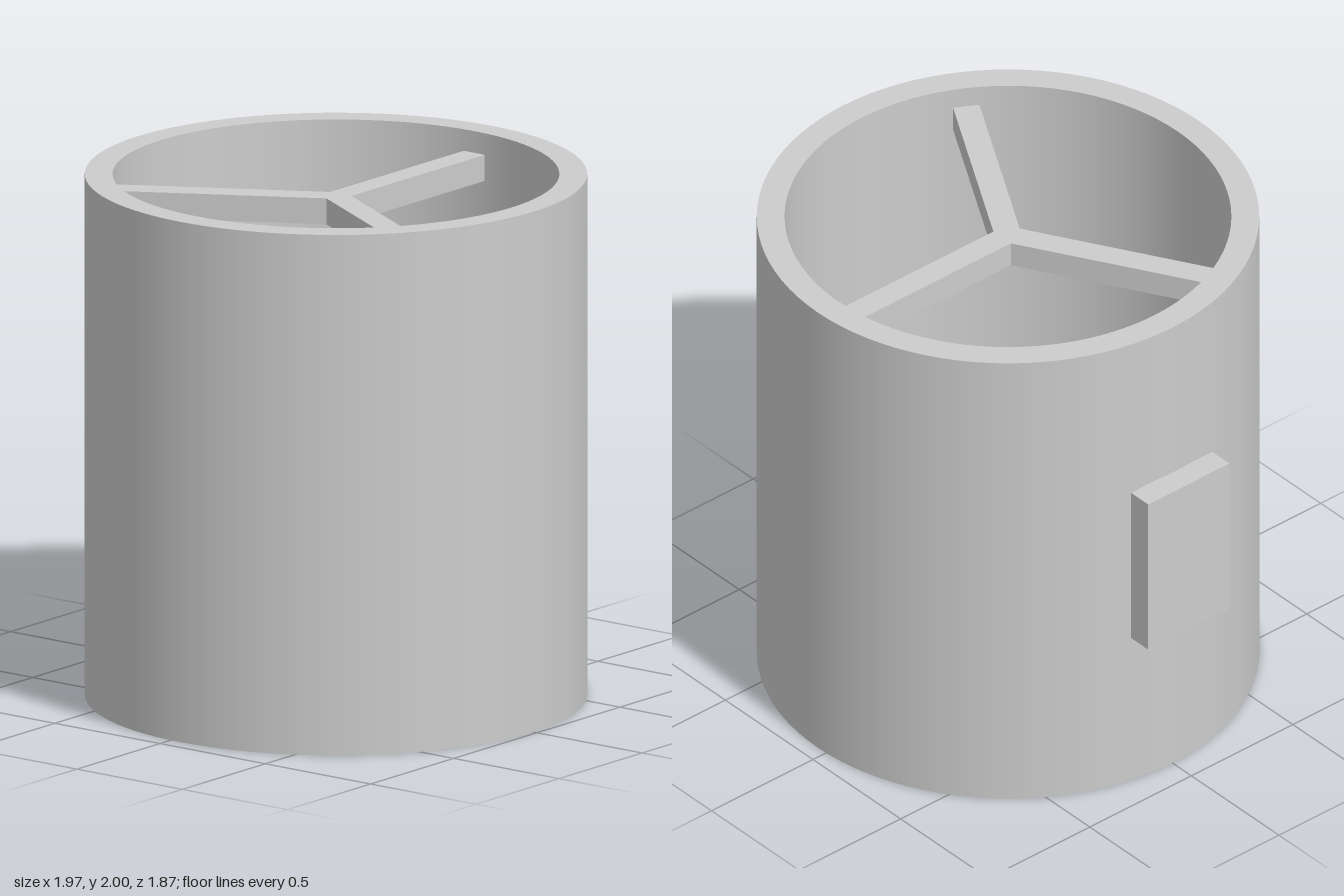
import * as THREE from 'three';

const CX = 0.046; // axis of the duct

export function createModel() {
  const group = new THREE.Group();
  const grey = new THREE.MeshStandardMaterial({ color: 0xcccccc });
  grey.name = 'light grey';

  const add = (name, geometry, x, y, z, parent = group) => {
    const mesh = new THREE.Mesh(geometry, grey);
    mesh.name = name;
    mesh.position.set(x, y, z);
    parent.add(mesh);
    return mesh;
  };

  // Open tube with a thick wall; each face pair is separate so the rims stay sharp
  const R = 0.937, r = 0.833, H = 2, N = 96;
  const duct = new THREE.Group();
  duct.name = 'duct';
  duct.position.x = CX;
  group.add(duct);
  const wall = (name, a, b) => add(name, new THREE.LatheGeometry(
    [new THREE.Vector2(...a), new THREE.Vector2(...b)], N), 0, 0, 0, duct);
  wall('outerWall', [R, 0], [R, H]);
  wall('topRim', [R, H], [r, H]);
  wall('innerWall', [r, H], [r, 0]);
  wall('bottomRim', [r, 0], [R, 0]);

  // Control box on the side
  add('sideBox', new THREE.BoxGeometry(0.098, 0.667, 0.4), -0.937, 1, 0);

  // Fan hub
  add('hub', new THREE.CylinderGeometry(0.3, 0.3, 0.167, 64), CX, 0.667, 0);

  // Three radial arms; the first points to the back
  const radial = (name, width, height, length, y) => {
    for (let i = 0; i < 3; i++) {
      const geometry = new THREE.BoxGeometry(width, height, length);
      geometry.translate(0, 0, -length / 2);
      add(name + (i + 1), geometry, CX, y, 0).rotation.y = i * Math.PI * 2 / 3;
    }
  };
  radial('blade', 0.167, 0.067, 0.7, 0.6);
  radial('strut', 0.1, 0.1, 0.836, 1.867);

  return group;
}
